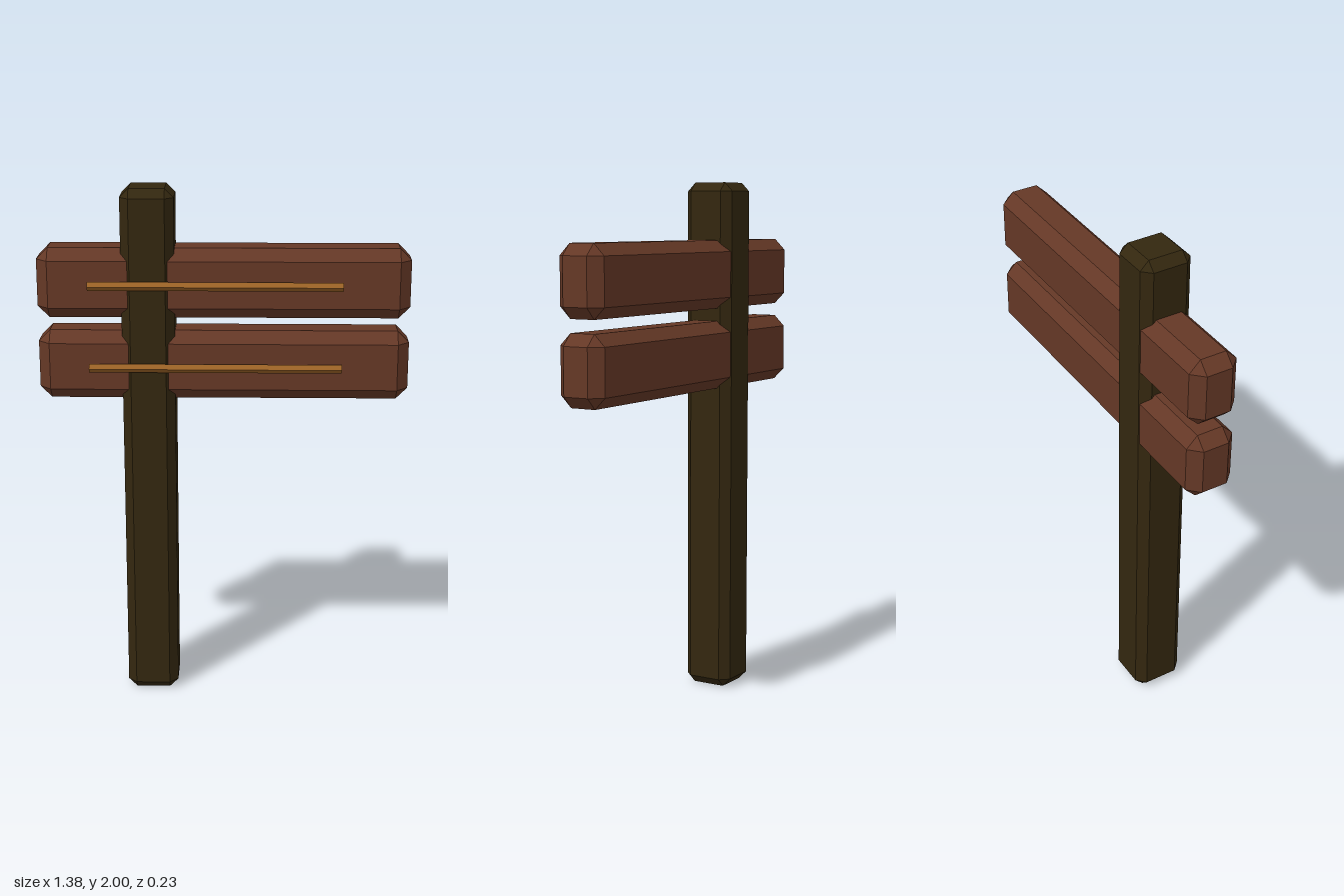
import * as THREE from 'three';
import { ConvexGeometry } from 'three/addons/geometries/ConvexGeometry.js';

const postWood = new THREE.MeshStandardMaterial({ name: 'dark post wood', color: 0x33270f });
const plankWood = new THREE.MeshStandardMaterial({ name: 'red brown plank wood', color: 0x653826 });
const stripPaint = new THREE.MeshStandardMaterial({ name: 'ochre strip', color: 0x9a6125 });

// Box with every edge and corner cut off at 45 degrees
function chamferedBox(w, h, d, c) {
  const x = w / 2, y = h / 2, z = d / 2;
  const points = [];
  for (const sx of [-1, 1]) for (const sy of [-1, 1]) for (const sz of [-1, 1]) {
    points.push(
      new THREE.Vector3(sx * x, sy * (y - c), sz * (z - c)),
      new THREE.Vector3(sx * (x - c), sy * y, sz * (z - c)),
      new THREE.Vector3(sx * (x - c), sy * (y - c), sz * z)
    );
  }
  return new ConvexGeometry(points);
}

export function createModel() {
  const group = new THREE.Group();
  group.name = 'signpost';

  function add(name, geometry, material, x, y, z) {
    const mesh = new THREE.Mesh(geometry, material);
    mesh.name = name;
    mesh.position.set(x, y, z);
    group.add(mesh);
  }

  // Upright post
  add('post', chamferedBox(0.198, 2, 0.198, 0.033), postWood, -0.28, 1, -0.015);

  // Two sign planks, each with a thin diamond-section strip in front
  const plank = chamferedBox(1.384, 0.262, 0.187, 0.043);
  const strip = new THREE.CylinderGeometry(0.0165, 0.0165, 0.94, 4).toNonIndexed();
  strip.computeVertexNormals();
  strip.rotateZ(Math.PI / 2);
  [['upper', 1.648], ['lower', 1.337]].forEach(([level, y]) => {
    add(level + 'Plank', plank, plankWood, 0, y, -0.0175);
    add(level + 'Strip', strip, stripPaint, -0.03, y, 0.0965);
  });

  return group;
}
